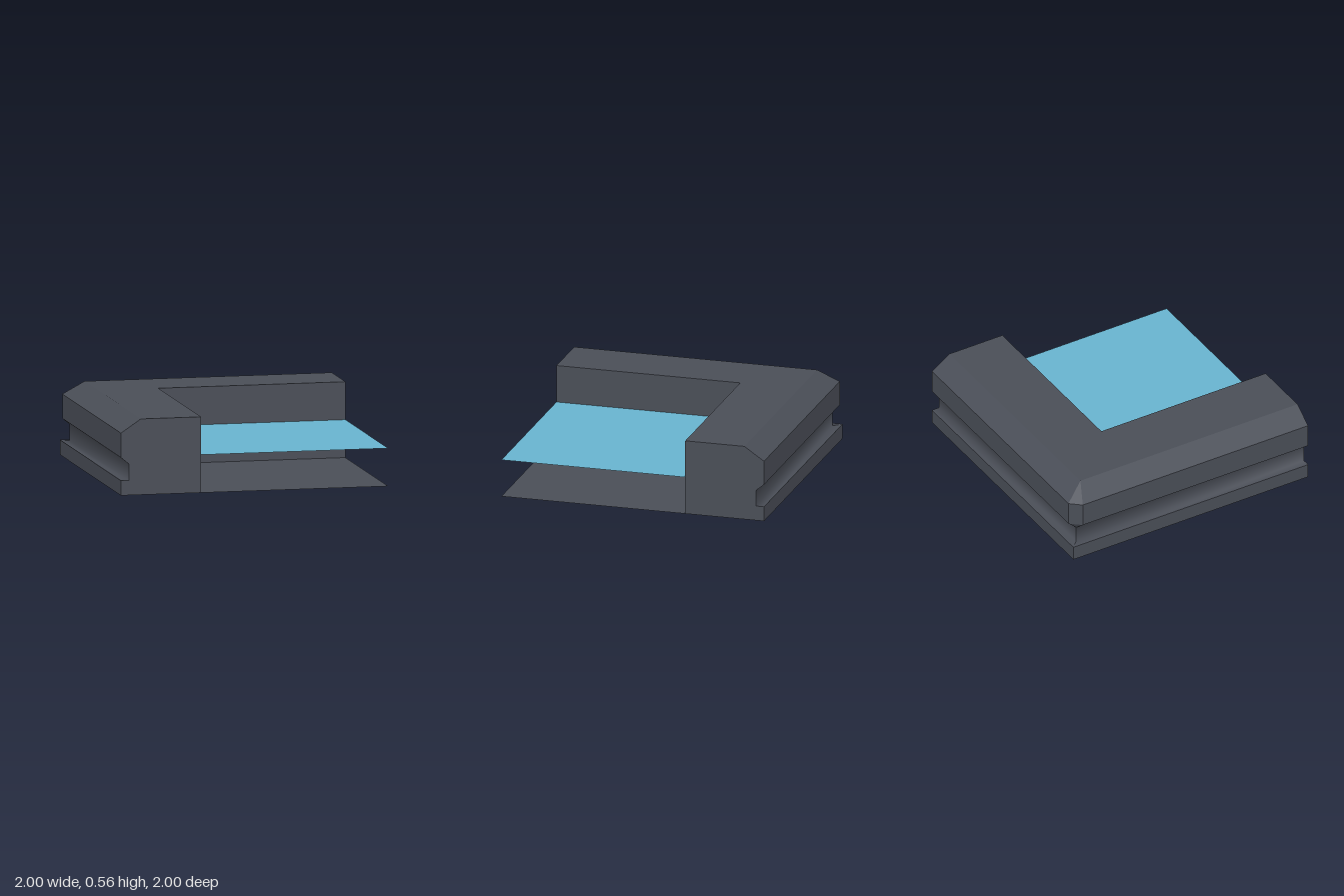
import * as THREE from 'three';
import { mergeGeometries } from 'three/addons/utils/BufferGeometryUtils.js';

const WATER_Y = 0.28;

// Coping cross-section, from the outer foot over the top to the inner foot.
// d: inset from the outer face, y: height, cut: corner is bevelled at this row
const PROFILE = [
  { d: 0, y: 0 },
  { d: 0, y: 0.11 },
  { d: 0.06, y: 0.11 },
  { d: 0.06, y: 0.23 },
  { d: 0, y: 0.28, cut: true },
  { d: 0, y: 0.46, cut: true },
  { d: 0.15, y: 0.56 },
  { d: 0.6, y: 0.56 },
  { d: 0.6, y: 0 },
];

// Rows swept together share smooth normals (the groove is one soft hollow)
const BANDS = [[0, 1], [1, 4], [4, 5], [5, 6], [6, 7], [7, 8]];

// Path of one profile row around the L-shaped corner
function rowPath({ d, y, cut }) {
  const e = -1 + d;
  return [
    [e, y, 1],
    [e, y, e + (cut ? 0.08 : 0)],
    [e + (cut ? 0.07 : 0), y, e],
    [1, y, e],
  ];
}

// Strip of quads joining a band of rows along one straight stretch
function strip(first, last, segment) {
  const points = [], index = [];
  for (let r = first; r <= last; r++) {
    const path = rowPath(PROFILE[r]);
    points.push(...path[segment], ...path[segment + 1]);
    if (r < last) {
      const a = (r - first) * 2;
      index.push(a, a + 2, a + 1, a + 1, a + 2, a + 3);
    }
  }
  const geometry = new THREE.BufferGeometry();
  geometry.setAttribute('position', new THREE.Float32BufferAttribute(points, 3));
  geometry.setIndex(index);
  geometry.computeVertexNormals();
  return geometry.toNonIndexed();
}

function addMesh(group, name, geometry, material) {
  const mesh = new THREE.Mesh(geometry, material);
  mesh.name = name;
  group.add(mesh);
  return mesh;
}

export function createModel() {
  const group = new THREE.Group();
  group.name = 'poolCorner';

  const stone = new THREE.MeshStandardMaterial({ color: 0x4a4e57, side: THREE.DoubleSide });
  stone.name = 'dark slate';
  const blue = new THREE.MeshStandardMaterial({ color: 0x68b3ce, side: THREE.DoubleSide });
  blue.name = 'water blue';

  // Coping wall swept around the corner
  const strips = [];
  for (const [first, last] of BANDS) {
    for (let segment = 0; segment < 3; segment++) strips.push(strip(first, last, segment));
  }
  addMesh(group, 'copingWall', mergeGeometries(strips), stone);

  // Cut ends of the wall
  const section = (side) => new THREE.ShapeGeometry(
    new THREE.Shape(PROFILE.map(({ d, y }) => new THREE.Vector2(side * (1 - d), y))));
  addMesh(group, 'frontEnd', section(-1), stone).position.z = 1;
  const sideEnd = addMesh(group, 'sideEnd', section(1), stone);
  sideEnd.rotation.y = Math.PI / 2;
  sideEnd.position.x = 1;

  // Floor sheet under everything
  addMesh(group, 'floor', new THREE.PlaneGeometry(2, 2).rotateX(-Math.PI / 2), stone);

  // Water sheet inside the corner
  const water = addMesh(group, 'waterSurface',
    new THREE.PlaneGeometry(1.4, 1.4).rotateX(-Math.PI / 2), blue);
  water.position.set(0.3, WATER_Y, 0.3);

  return group;
}
